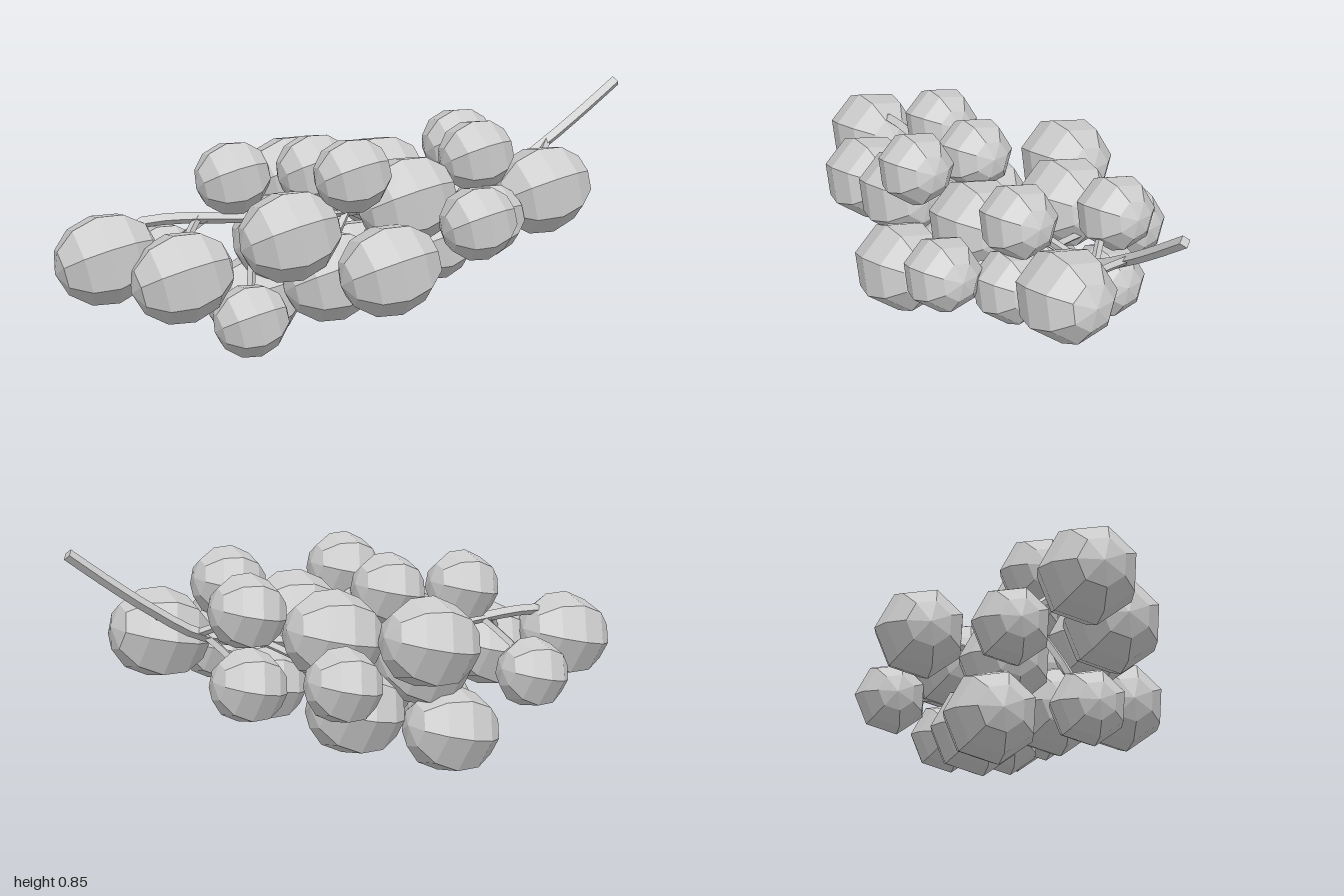
import * as THREE from 'three';

const fruitMaterial = new THREE.MeshStandardMaterial({ color: 0xcccccc, flatShading: true });
const stemMaterial = new THREE.MeshStandardMaterial({ color: 0xcccccc, flatShading: true });

// Seven-sided low-poly berry, lengthwise along x and tipped up towards the stem
function berryGeometry(radius, halfLength) {
  return new THREE.SphereGeometry(1, 7, 6)
    .rotateY(-Math.PI / 2)
    .rotateZ(-Math.PI / 2)
    .scale(halfLength, radius, radius)
    .rotateZ(0.22);
}

// Four-sided twig through a few points, closed at its start
function twig(name, points, radius, steps) {
  const group = new THREE.Group();
  group.name = name;
  const curve = new THREE.CatmullRomCurve3(points);
  group.add(new THREE.Mesh(new THREE.TubeGeometry(curve, steps, radius, 4), stemMaterial));
  const cap = new THREE.Mesh(new THREE.CircleGeometry(radius, 4), stemMaterial);
  cap.position.copy(points[0]);
  cap.lookAt(points[0].clone().sub(curve.getTangent(0)));
  group.add(cap);
  return group;
}

export function createModel() {
  const model = new THREE.Group();
  model.name = 'grapeBunch';

  // Berry centres
  const large = [
    [-0.83, 0.40, -0.01], [-0.62, 0.355, 0.13], [-0.285, 0.16, -0.165],
    [-0.21, 0.39, -0.10], [-0.275, 0.47, 0.18], [-0.10, 0.29, 0.09],
    [0.06, 0.26, -0.13], [-0.09, 0.52, -0.355], [0.165, 0.535, -0.18],
    [0.14, 0.54, 0.15], [0.0, 0.375, 0.35], [0.635, 0.53, 0.14],
  ];
  const small = [
    [-0.595, 0.325, -0.18], [-0.395, 0.62, -0.04], [-0.125, 0.63, -0.01],
    [-0.085, 0.665, 0.24], [-0.39, 0.18, 0.12], [0.235, 0.425, -0.385],
    [0.46, 0.64, -0.165], [0.295, 0.505, 0.37], [0.385, 0.67, 0.15],
    [0.41, 0.46, 0.19], [0.45, 0.395, -0.145], [0.30, 0.345, 0.03],
  ];
  const kinds = [
    ['largeGrape', large, berryGeometry(0.153, 0.17)],
    ['smallGrape', small, berryGeometry(0.125, 0.126)],
  ];

  // Main stem: a raised handle, then a run through the middle of the bunch
  const spine = [
    [0.99, 0.845, -0.02], [0.86, 0.745, -0.02], [0.72, 0.645, -0.02],
    [0.55, 0.545, -0.015], [0.3, 0.5, -0.015], [0, 0.475, -0.015],
    [-0.35, 0.485, -0.02], [-0.6, 0.505, -0.02], [-0.72, 0.5, -0.015], [-0.82, 0.43, -0.01],
  ].map((p) => new THREE.Vector3(...p));
  model.add(twig('mainStem', spine, 0.019, 28));
  const spineCurve = new THREE.CatmullRomCurve3(spine);
  const samples = spineCurve.getSpacedPoints(60);

  // Berries, each hung from the stem by a short stalk on its stem-side
  for (const [name, centres, geometry] of kinds) {
    for (const c of centres) {
      const centre = new THREE.Vector3(...c);
      const berry = new THREE.Mesh(geometry, fruitMaterial);
      berry.name = name;
      berry.position.copy(centre);
      model.add(berry);

      const wanted = centre.x + 0.1;
      const joint = samples.reduce((a, b) =>
        Math.abs(b.x - wanted) < Math.abs(a.x - wanted) ? b : a);
      const bend = joint.clone().lerp(centre, 0.5);
      bend.x -= 0.02;
      model.add(twig('stalk', [joint, bend, centre], 0.014, 4));
    }
  }
  return model;
}
